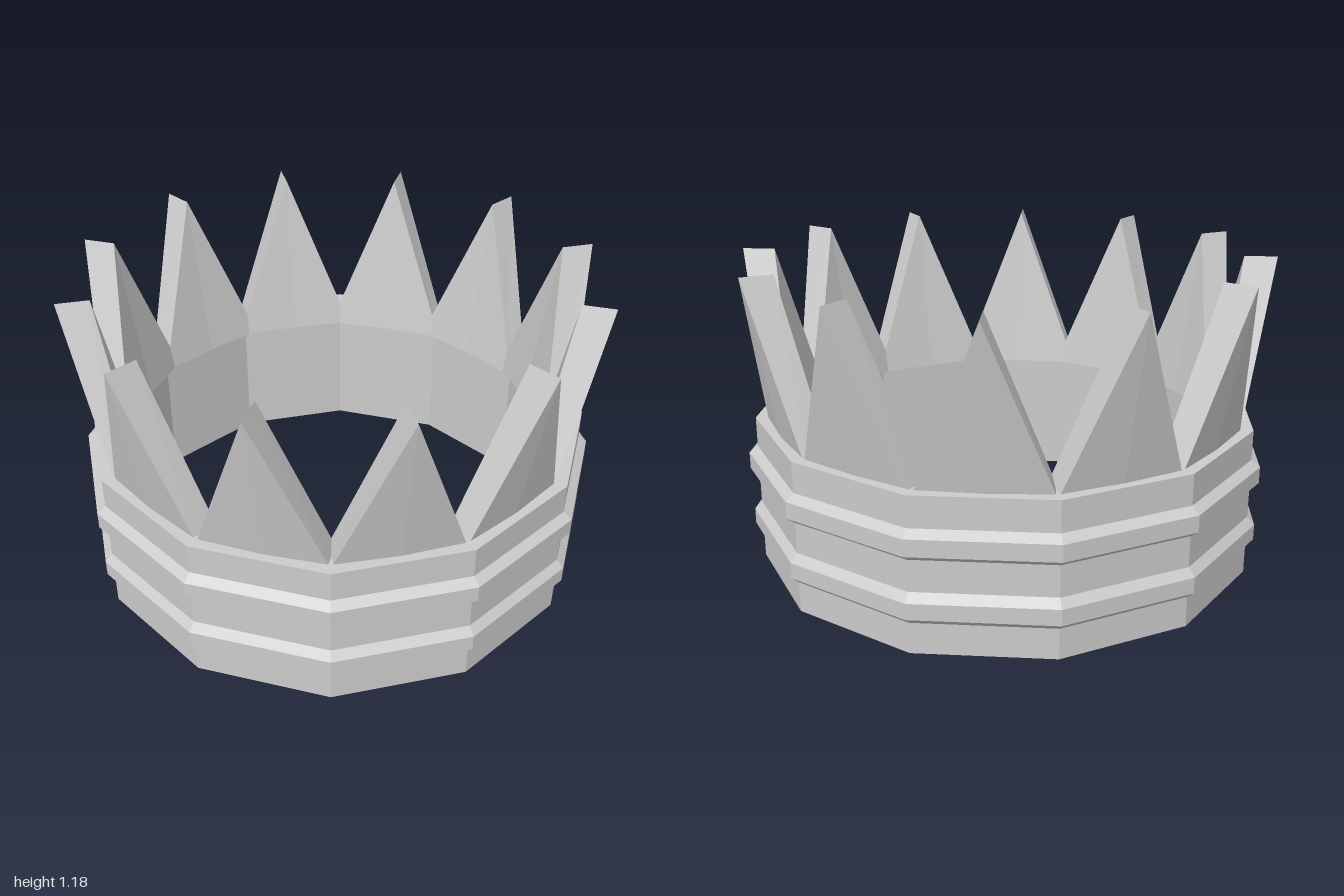
import * as THREE from 'three';

const SIDES = 12;
const BAND_TOP = 0.575;
const SPIKE_BASE = 0.51; // spikes are sunk into the band and overlap each other
const SPIKE_HEIGHT = 0.665;

// Triangular spike leaning outwards, slightly folded down its middle;
// local +z is the outward direction
function spikeGeometry() {
  const corners = [
    -0.25, 0, 0.78, 0, 0, 0.793, 0.25, 0, 0.78, // inner base
    -0.255, 0, 0.877, 0, 0, 0.89, 0.255, 0, 0.877, // outer base
    0, SPIKE_HEIGHT, 0.89, 0, SPIKE_HEIGHT, 1.013, // ridge, inner and outer end
  ];
  const geometry = new THREE.BufferGeometry();
  geometry.setAttribute('position', new THREE.Float32BufferAttribute(corners, 3));
  geometry.setIndex([
    3, 4, 7, 4, 5, 7, // outer face
    1, 0, 6, 2, 1, 6, // inner face
    5, 2, 6, 5, 6, 7, // right side
    0, 3, 7, 0, 7, 6, // left side
    0, 1, 4, 0, 4, 3, 1, 2, 5, 1, 5, 4, // underside
  ]);
  const flat = geometry.toNonIndexed();
  flat.computeVertexNormals();
  return flat;
}

export function createModel() {
  const crown = new THREE.Group();
  crown.name = 'crown';
  const material = new THREE.MeshStandardMaterial({ color: 0xcccccc, flatShading: true });

  // Twelve-sided band with two raised beads, as a closed profile
  const profile = [
    [0.853, 0], [0.967, 0], [0.967, 0.115],
    [0.995, 0.14], [0.995, 0.2], [0.967, 0.23], // lower bead
    [0.967, 0.347],
    [1, 0.372], [1, 0.435], [0.967, 0.46], // upper bead
    [0.967, BAND_TOP], [0.853, BAND_TOP], [0.853, 0],
  ].map(([r, y]) => new THREE.Vector2(r, y));
  const band = new THREE.Mesh(new THREE.LatheGeometry(profile, SIDES), material);
  band.name = 'band';
  crown.add(band);

  // One spike on the middle of each side
  const geometry = spikeGeometry();
  const spikes = new THREE.Group();
  spikes.name = 'spikes';
  for (let i = 0; i < SIDES; i++) {
    const spike = new THREE.Mesh(geometry, material);
    spike.name = `spike${i + 1}`;
    spike.position.y = SPIKE_BASE;
    spike.rotation.y = ((i + 0.5) / SIDES) * Math.PI * 2;
    spikes.add(spike);
  }
  crown.add(spikes);
  return crown;
}
